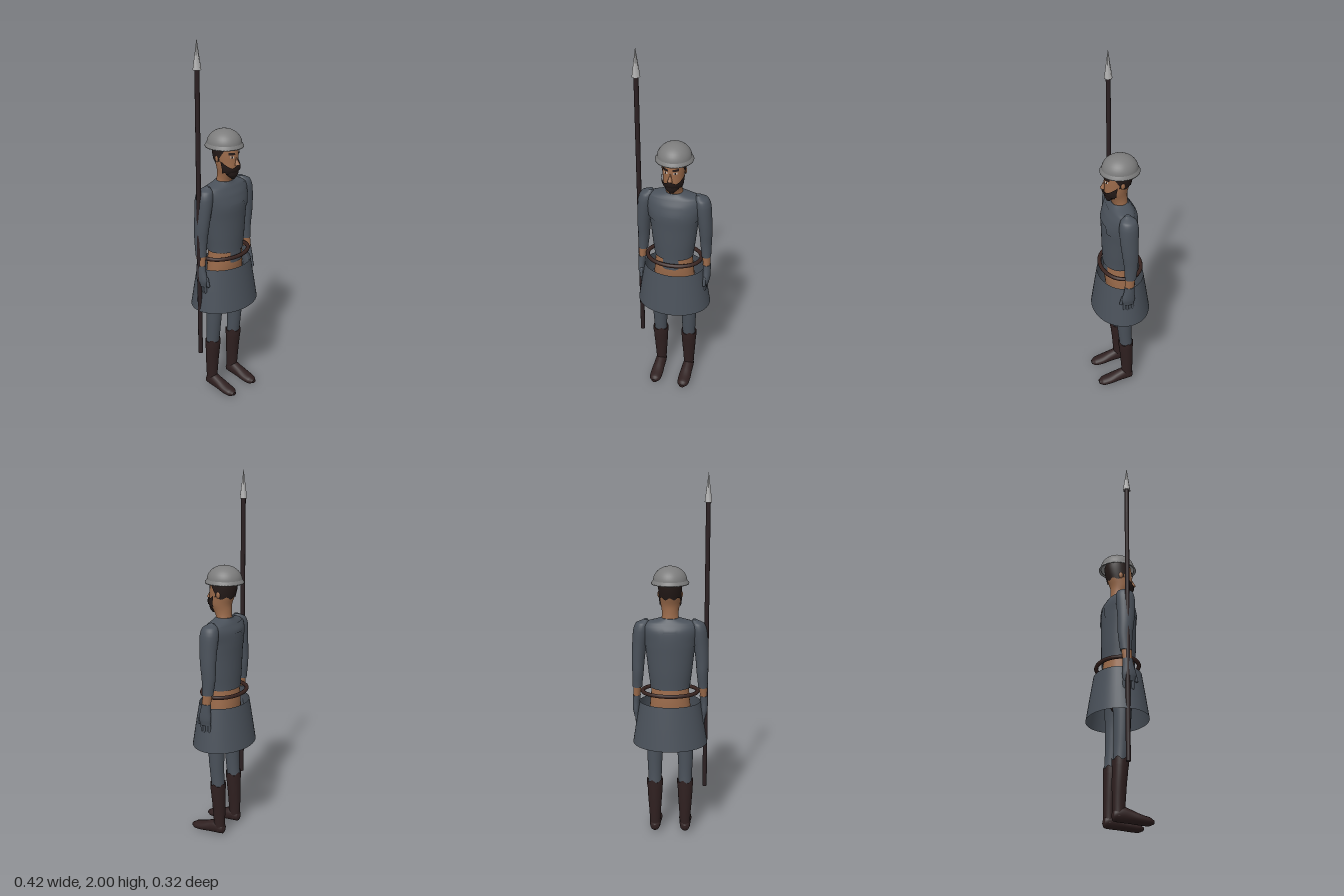
import * as THREE from 'three';

const mat = (name, color, side = THREE.DoubleSide) => {
  const m = new THREE.MeshStandardMaterial({ color, side });
  m.name = name;
  return m;
};

// Smooth a list of [height, cx, cz, rx, rz] sections (bottom to top)
function refine(s, sub = 4) {
  const out = [], at = i => s[Math.min(Math.max(i, 0), s.length - 1)];
  for (let i = 0; i < s.length - 1; i++) {
    for (let k = 0; k < sub; k++) {
      const t = k / sub, a = at(i - 1), b = at(i), c = at(i + 1), d = at(i + 2);
      out.push(b.map((_, q) => q === 0 ? b[0] + (c[0] - b[0]) * t : 0.5 * (2 * b[q] + (c[q] - a[q]) * t
        + (2 * a[q] - 5 * b[q] + 4 * c[q] - d[q]) * t * t + (3 * b[q] - a[q] - 3 * c[q] + d[q]) * t * t * t)));
    }
  }
  out.push(s[s.length - 1]);
  return out;
}

// Section of a refined list at a given height
function sectionAt(s, y) {
  let i = 0;
  while (i < s.length - 2 && s[i + 1][0] < y) i++;
  const t = THREE.MathUtils.clamp((y - s[i][0]) / (s[i + 1][0] - s[i][0]), 0, 1);
  return s[i].map((v, q) => v + (s[i + 1][q] - v) * t);
}

// Closed tube of elliptical sections, angle 0 facing +z
function loft(sections, n = 28, caps = true) {
  const pos = [], idx = [], s = sections;
  const ring = ([y, cx, cz, rx, rz]) => {
    for (let j = 0; j < n; j++) {
      const a = j / n * Math.PI * 2;
      pos.push(cx + rx * Math.sin(a), y, cz + rz * Math.cos(a));
    }
  };
  s.forEach(ring);
  for (let i = 0; i < s.length - 1; i++) for (let j = 0; j < n; j++) {
    const a = i * n + j, b = i * n + (j + 1) % n;
    idx.push(a, b, a + n, b, b + n, a + n);
  }
  if (caps) for (const [sec, top] of [[s[0], false], [s[s.length - 1], true]]) {
    const base = pos.length / 3;
    ring(sec);
    pos.push(sec[1], sec[0], sec[2]);
    for (let j = 0; j < n; j++) {
      const a = base + j, b = base + (j + 1) % n;
      idx.push(...(top ? [a, b, base + n] : [b, a, base + n]));
    }
  }
  const g = new THREE.BufferGeometry();
  g.setAttribute('position', new THREE.Float32BufferAttribute(pos, 3));
  g.setIndex(idx);
  g.computeVertexNormals();
  return g;
}

// Thin patch lying on a lofted body between two angles and two edge curves
function shell(s, a0, a1, low, high, off = 0.003, nu = 40, nv = 6) {
  const g = new THREE.PlaneGeometry(1, 1, nu, nv), p = g.attributes.position;
  const f = e => typeof e === 'function' ? e : () => e;
  for (let i = 0; i < p.count; i++) {
    const a = a0 + (a1 - a0) * (p.getX(i) + 0.5), lo = f(low)(a);
    const y = lo + (f(high)(a) - lo) * (p.getY(i) + 0.5);
    const [, cx, cz, rx, rz] = sectionAt(s, y);
    p.setXYZ(i, cx + (rx + off) * Math.sin(a), y, cz + (rz + off) * Math.cos(a));
  }
  g.computeVertexNormals();
  return g;
}

export function createModel() {
  const model = new THREE.Group();
  const cloth = mat('slate cloth', 0x4a515a), skin = mat('skin', 0x9a6a4a);
  const leather = mat('boot leather', 0x2f2020), belting = mat('belt leather', 0x37231f);
  const hair = mat('hair', 0x231917), steel = mat('helmet steel', 0x7c7c7c);
  const blade = mat('blade steel', 0xb2b2b2), wood = mat('shaft wood', 0x2b2022);
  const white = mat('eye white', 0xc8c0b8);
  const add = (name, geo, material, parent = model) => {
    const m = new THREE.Mesh(geo, material);
    m.name = name;
    parent.add(m);
    return m;
  };
  const PI = Math.PI;

  // Torso, with a raised stepped yoke and a front tab
  const torso = refine([[0.865, 0, 0.006, 0.108, 0.088], [0.95, 0, 0.006, 0.118, 0.091], [1.05, 0, 0.006, 0.129, 0.092],
    [1.13, 0, 0.006, 0.14, 0.092], [1.19, 0, 0, 0.15, 0.08], [1.225, 0, 0, 0.138, 0.061], [1.25, 0, 0, 0.05, 0.046]]);
  add('tunic', loft(torso, 40), cloth);
  const step = (x, inner, outer) => 1 - THREE.MathUtils.smoothstep(Math.abs(x), inner, outer);
  const yokeEdge = a => 1.1 + (Math.cos(a) > 0 ? 0.038 * step(Math.sin(a), 0.34, 0.48) : 0.075 * step(Math.sin(a), 0.2, 0.4));
  add('yoke', shell(torso, -PI, PI, yokeEdge, 1.222, 0.004, 120, 10), cloth);

  // Bare waist and underclothes
  const waist = refine([[0.7, 0, 0, 0.115, 0.08], [0.79, 0, 0.004, 0.108, 0.085], [0.88, 0, 0.006, 0.1, 0.08]]);
  add('waist', loft(waist), skin);
  add('frontTab', shell(waist, -0.42, 0.42, a => 0.802 + 0.05 * Math.max(0, Math.abs(a) - 0.28), 0.872, 0.004), cloth);
  add('underclothes', loft(refine([[0.6, 0, 0, 0.02, 0.03], [0.65, 0, 0, 0.07, 0.06], [0.705, 0, 0, 0.116, 0.08]])), leather);

  // Belt hoop and flared open skirt
  const hoop = Array.from({ length: 32 }, (_, i) => new THREE.Vector3(0.15 * Math.sin(i * PI / 16), 0.842, 0.11 * Math.cos(i * PI / 16)));
  add('belt', new THREE.TubeGeometry(new THREE.CatmullRomCurve3(hoop, true), 64, 0.011, 8, true), belting);
  add('skirt', loft([[0.545, 0, 0, 0.205, 0.162], [0.665, 0, 0, 0.186, 0.144], [0.785, 0, 0, 0.165, 0.125]], 48, false), cloth);

  // Arms and legs
  for (const s of [-1, 1]) {
    const side = s > 0 ? 'left' : 'right';
    const arm = new THREE.Group();
    arm.name = side + 'Arm';
    model.add(arm);
    add('sleeve', loft(refine([[0.865, s * 0.178, -0.004, 0.026, 0.031], [0.95, s * 0.174, -0.007, 0.031, 0.038],
      [1.02, s * 0.172, -0.003, 0.035, 0.043], [1.1, s * 0.165, 0, 0.039, 0.048], [1.18, s * 0.155, 0, 0.043, 0.051],
      [1.22, s * 0.147, 0, 0.036, 0.042], [1.241, s * 0.13, 0, 0.012, 0.015]])), cloth, arm);
    add('wrist', loft([[0.79, s * 0.184, 0.004, 0.018, 0.024], [0.88, s * 0.178, -0.003, 0.023, 0.028]], 20), skin, arm);
    add('glove', loft(refine([[0.695, s * 0.184, 0.008, 0.014, 0.03], [0.73, s * 0.186, 0.01, 0.019, 0.037],
      [0.775, s * 0.186, 0.006, 0.02, 0.03], [0.815, s * 0.183, 0.002, 0.022, 0.027]]), 20), cloth, arm);
    for (let i = 0; i < 4; i++) {
      const f = add('finger', new THREE.CapsuleGeometry(0.0085, 0.045, 4, 8), cloth, arm);
      f.position.set(s * 0.182, 0.676 + Math.abs(i - 1.4) * 0.005, -0.015 + i * 0.015);
      f.rotation.z = -s * 0.1;
    }
    const thumb = add('thumb', new THREE.CapsuleGeometry(0.009, 0.04, 4, 8), cloth, arm);
    thumb.position.set(s * 0.18, 0.722, 0.045);
    thumb.rotation.x = -0.25;

    const leg = new THREE.Group();
    leg.name = side + 'Leg';
    leg.position.x = s * 0.085;
    model.add(leg);
    add('trouser', loft(refine([[0.28, 0, -0.012, 0.036, 0.036], [0.36, 0, -0.005, 0.038, 0.038], [0.45, 0, 0, 0.042, 0.042],
      [0.56, -s * 0.004, 0.003, 0.048, 0.047], [0.72, -s * 0.02, 0.003, 0.06, 0.06]])), cloth, leg);
    const boot = refine([[0.035, 0, -0.018, 0.029, 0.03], [0.1, 0, -0.017, 0.031, 0.033], [0.2, 0, -0.014, 0.038, 0.037],
      [0.27, 0, -0.01, 0.042, 0.04], [0.31, 0, -0.009, 0.043, 0.04]]);
    add('boot', loft(boot), leather, leg);
    add('bootCuff', shell(boot, -PI, PI, 0.285, a => 0.318 + 0.008 * Math.sin(a * 5), 0.002, 60, 3), leather, leg);
    const foot = loft(refine([[-0.052, 0, -0.04, 0.008, 0.01], [-0.044, 0, -0.042, 0.025, 0.027], [-0.01, 0, -0.05, 0.031, 0.04],
      [0.04, 0, -0.041, 0.033, 0.034], [0.09, 0, -0.029, 0.036, 0.026], [0.135, 0, -0.022, 0.031, 0.021], [0.157, 0, -0.02, 0.014, 0.01]]), 20);
    add('foot', foot.rotateX(PI / 2), leather, leg);
  }

  // Head and neck
  const head = refine([[1.19, 0, 0, 0.058, 0.046], [1.25, 0, 0.002, 0.045, 0.042], [1.285, 0, 0.012, 0.045, 0.05],
    [1.32, 0, 0.022, 0.052, 0.062], [1.36, 0, 0.015, 0.056, 0.069], [1.41, 0, 0.008, 0.058, 0.074], [1.46, 0, 0.003, 0.054, 0.068], [1.5, 0, 0, 0.02, 0.025]]);
  const face = new THREE.Group();
  face.name = 'head';
  model.add(face);
  add('skull', loft(head, 32), skin, face);
  add('hair', shell(head, 1.45, 2 * PI - 1.45, a => 1.358 + 0.006 * Math.cos(a * 8), 1.47, 0.005), hair, face);
  const jag = a => 0.005 * Math.sin(a * 16);
  add('beard', shell(head, -1.35, 1.35, a => 1.272 + 0.035 * Math.abs(Math.sin(a)) + jag(a),
    a => 1.325 + 0.025 * a * a, 0.008, 48), hair, face);
  add('beardTip', loft(refine([[1.268, 0, 0.062, 0.012, 0.01], [1.29, 0, 0.058, 0.034, 0.025], [1.325, 0, 0.06, 0.038, 0.027]]), 20), hair, face);
  add('moustache', shell(head, -0.5, 0.5, a => 1.322 - 0.02 * Math.abs(a), a => 1.348 - 0.03 * Math.abs(a), 0.01), hair, face);
  const nose = add('nose', new THREE.ConeGeometry(0.014, 0.05, 8), skin, face);
  nose.position.set(0, 1.37, 0.087);
  nose.rotation.x = -0.25;
  for (const s of [-1, 1]) {
    const patch = (name, a0, a1, lo, hi, m, off) =>
      add(name, shell(head, Math.min(s * a0, s * a1), Math.max(s * a0, s * a1), lo, hi, off, 8, 2), m, face);
    patch('eye', 0.26, 0.6, 1.385, 1.395, white, 0.002);
    patch('pupil', 0.37, 0.5, 1.384, 1.396, hair, 0.003);
    patch('brow', 0.18, 0.72, 1.402, a => 1.411 + 0.006 * Math.abs(a), hair, 0.005);
    patch('sideburn', 1.0, 1.5, a => 1.425 - 0.1 * (Math.abs(a) - 1), 1.46, hair, 0.005);
    const ear = add('ear', new THREE.SphereGeometry(0.015, 10, 8), skin, face);
    ear.scale.set(0.45, 1.2, 0.8);
    ear.position.set(s * 0.06, 1.375, 0.003);
  }

  // Domed helmet with flared brim
  const dome = Array.from({ length: 11 }, (_, i) => {
    const a = i / 10 * PI / 2;
    return new THREE.Vector2(0.09 * Math.sin(a), 1.447 + 0.077 * Math.cos(a));
  });
  const helmet = new THREE.Group();
  helmet.name = 'helmet';
  helmet.scale.z = 1.05;
  model.add(helmet);
  add('dome', new THREE.LatheGeometry(dome.reverse(), 40), steel, helmet);
  add('brim', new THREE.LatheGeometry([[0.088, 1.437], [0.099, 1.431], [0.1, 1.436], [0.089, 1.452]].map(p => new THREE.Vector2(...p)), 40), steel, helmet);

  // Spear beside the right arm
  const spear = new THREE.Group();
  spear.name = 'spear';
  spear.position.x = -0.194;
  model.add(spear);
  add('shaft', new THREE.CylinderGeometry(0.0125, 0.0125, 1.57, 10), wood, spear).position.y = 1.065;
  add('spearhead', new THREE.ConeGeometry(0.022, 0.15, 6).toNonIndexed(), blade, spear).position.y = 1.925;
  return model;
}
